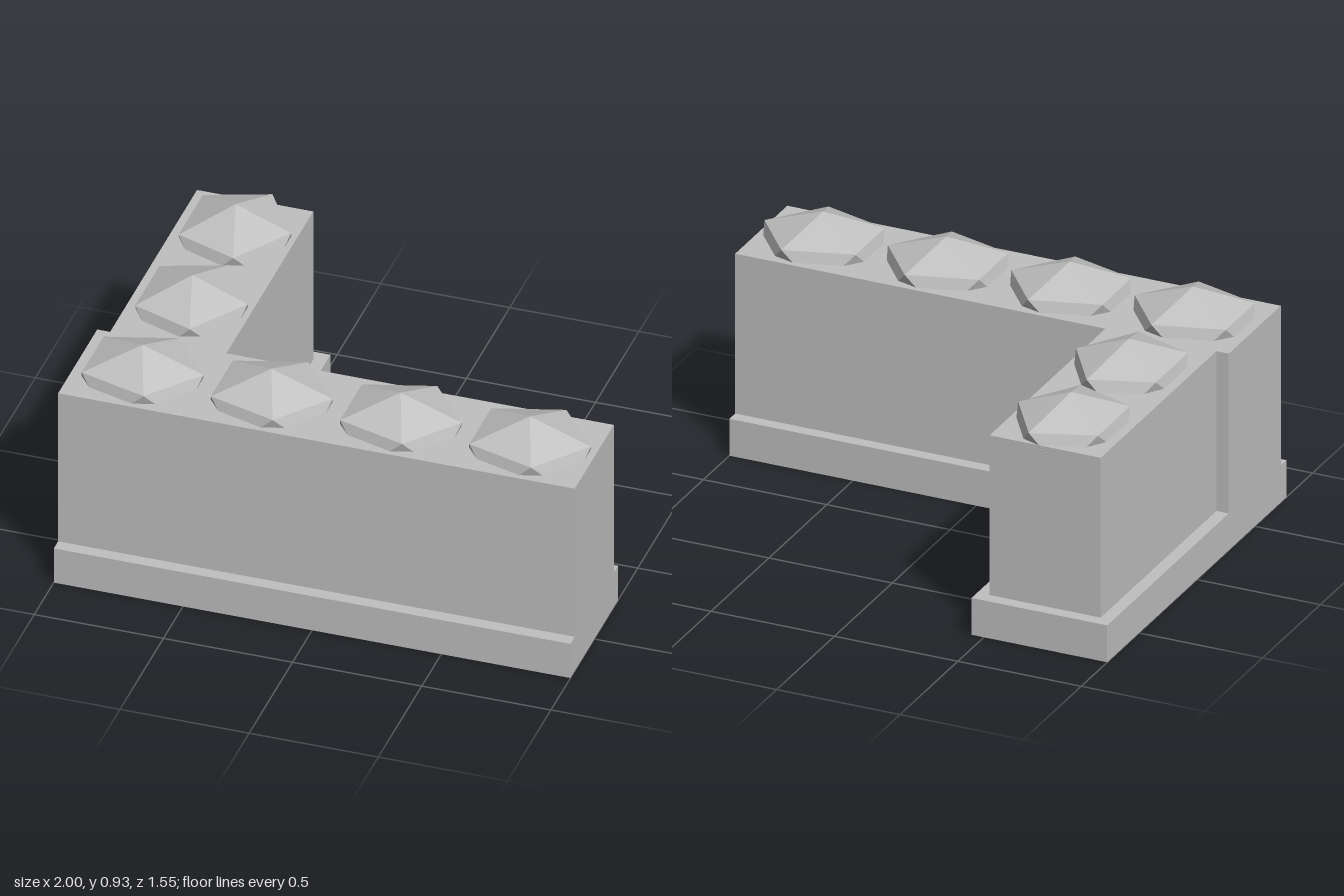
import * as THREE from 'three';
import { ConvexGeometry } from 'three/addons/geometries/ConvexGeometry.js';

const stone = new THREE.MeshStandardMaterial({ color: 0xc0c0c0 });
stone.name = 'grey stone';

// L-shaped block: plan outline in [x, z], raised from y0 to y1
function lBlock(name, outline, y0, y1) {
  const shape = new THREE.Shape(outline.map(([x, z]) => new THREE.Vector2(x, -z)));
  const geo = new THREE.ExtrudeGeometry(shape, { depth: y1 - y0, bevelEnabled: false });
  geo.rotateX(-Math.PI / 2).translate(0, y0, 0);
  const mesh = new THREE.Mesh(geo, stone);
  mesh.name = name;
  return mesh;
}

// Flattened icosahedron with a point up and one upper corner towards +x
function capStone(name, x, z, rx, rz) {
  const ry = 0.15, s = 1 / Math.sqrt(5);
  const pts = [new THREE.Vector3(0, ry, 0), new THREE.Vector3(0, -ry, 0)];
  for (let i = 0; i < 10; i++) {
    const a = (i * Math.PI) / 5;
    const y = i % 2 ? -s : s;
    pts.push(new THREE.Vector3(2 * s * rx * Math.cos(a), y * ry, 2 * s * rz * Math.sin(a)));
  }
  const mesh = new THREE.Mesh(new ConvexGeometry(pts), stone);
  mesh.name = name;
  mesh.position.set(x, 0.775, z);
  return mesh;
}

export function createModel() {
  const model = new THREE.Group();
  model.name = 'cornerWall';

  // Wider footing
  model.add(lBlock('base', [
    [-1, 0.775], [1, 0.775], [1, 0.225], [-0.45, 0.225], [-0.45, -0.775], [-1, -0.775],
  ], 0, 0.15));

  // Wall, flush with the footing at both ends of the front run
  model.add(lBlock('wall', [
    [-1, 0.725], [1, 0.725], [1, 0.275], [-0.5, 0.275],
    [-0.5, -0.725], [-0.95, -0.725], [-0.95, 0.275], [-1, 0.275],
  ], 0.15, 0.8));

  // Cap stones half sunk into the wall top
  [-0.75, -0.25, 0.25, 0.75].forEach((x, i) =>
    model.add(capStone(`frontCapStone${i + 1}`, x, 0.5, 0.265, 0.24)));
  [0, -0.5].forEach((z, i) =>
    model.add(capStone(`sideCapStone${i + 1}`, -0.725, z, 0.24, 0.265)));

  return model;
}
